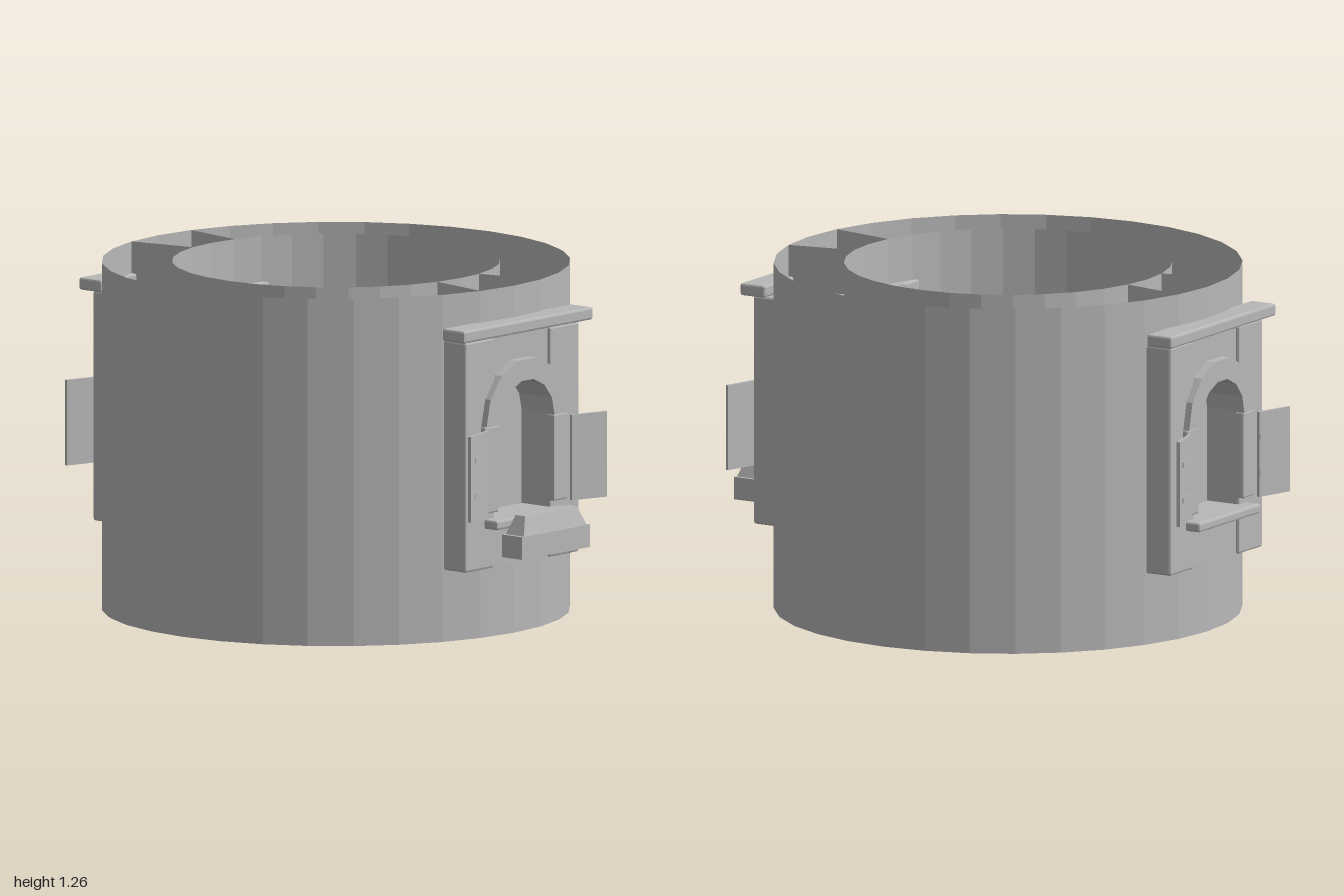
import * as THREE from 'three';
import { RoundedBoxGeometry } from 'three/addons/geometries/RoundedBoxGeometry.js';

const stone = new THREE.MeshStandardMaterial({ color: 0xb8b8b8, flatShading: true, side: THREE.DoubleSide });
stone.name = 'grey stone';

const HEIGHT = 1.26, OUTER = 0.84, INNER = 0.588, STEP = Math.PI / 16;

function add(parent, name, geometry, x = 0, y = 0, z = 0) {
  const mesh = new THREE.Mesh(geometry, stone);
  mesh.name = name;
  mesh.position.set(x, y, z);
  parent.add(mesh);
  return mesh;
}

// Box given by its limits, with an optional small bevel
function block(parent, name, [x0, x1], [y0, y1], [z0, z1], bevel = 0) {
  const size = [x1 - x0, y1 - y0, z1 - z0];
  const geometry = bevel ? new RoundedBoxGeometry(...size, 1, bevel) : new THREE.BoxGeometry(...size);
  return add(parent, name, geometry, (x0 + x1) / 2, (y0 + y1) / 2, (z0 + z1) / 2);
}

// Seven-sided arch points from right to left
function archPoints(radius, y) {
  return Array.from({ length: 8 }, (_, i) => {
    const a = (i * Math.PI) / 7;
    return new THREE.Vector2(Math.cos(a) * radius, y + Math.sin(a) * radius);
  });
}

function extrude(points, z0, z1) {
  const geometry = new THREE.ExtrudeGeometry(new THREE.Shape(points), { depth: z1 - z0, bevelEnabled: false });
  return geometry.translate(0, 0, z0);
}

// Thin round wall, left open behind each window
function roundWall(parent, name, radius) {
  const band = (y0, y1, start, steps) => add(parent, name,
    new THREE.CylinderGeometry(radius, radius, y1 - y0, steps, 1, true, start * STEP, steps * STEP), 0, (y0 + y1) / 2, 0);
  for (const start of [0, 16]) {
    band(0, HEIGHT, start + 1, 14);
    band(0, 0.3, start - 1, 2);
    band(1.06, HEIGHT, start - 1, 2);
  }
}

function createWindow() {
  const group = new THREE.Group();
  group.name = 'window';

  for (const s of [-1, 1]) {
    const span = (a, b) => (s > 0 ? [a, b] : [-b, -a]);
    block(group, 'sidePanel', span(0.152, 0.312), [0.26, 1.095], [0.53, 0.88], 0.008);
    block(group, 'archPillar', span(0.15, 0.228), [0.465, 0.78], [0.86, 0.9], 0.006);

    // Half-open shutter with two hinge straps
    const shutter = new THREE.Group();
    shutter.name = 'shutter';
    shutter.position.set(s * 0.303, 0.615, 0.932);
    shutter.rotation.y = -s * 0.27;
    group.add(shutter);
    block(shutter, 'shutterBoard', [-0.075, 0.075], [-0.155, 0.155], [-0.006, 0.006]);
    for (const y of [-0.065, 0.065])
      block(shutter, 'shutterStrap', span(-0.07, 0.04), [y - 0.01, y + 0.01], [0.005, 0.009]);

    // Thin radial walls joining the inner and outer walls
    for (const [y0, y1] of [[0, 0.3], [1.06, HEIGHT]]) {
      const wall = add(group, 'radialWall', new THREE.PlaneGeometry(OUTER - INNER, y1 - y0));
      const r = (OUTER + INNER) / 2;
      wall.position.set(s * r * Math.sin(STEP), (y0 + y1) / 2, r * Math.cos(STEP));
      wall.rotation.y = s * STEP - Math.PI / 2;
    }
  }

  // Stone above and below the niche, and the niche back
  add(group, 'upperPanel', extrude(
    [...archPoints(0.154, 0.775), new THREE.Vector2(-0.154, 1.095), new THREE.Vector2(0.154, 1.095)], 0.53, 0.868));
  block(group, 'lowerPanel', [-0.154, 0.154], [0.26, 0.44], [0.53, 0.868]);
  block(group, 'nicheBack', [-0.154, 0.154], [0.43, 0.95], [0.73, 0.745]);

  // Trim around the opening
  add(group, 'archTrim', extrude(
    [...archPoints(0.226, 0.78), ...archPoints(0.148, 0.78).reverse()], 0.86, 0.905));
  block(group, 'sill', [-0.207, 0.207], [0.407, 0.442], [0.74, 0.938], 0.008);
  block(group, 'cornice', [-0.355, 0.355], [1.1, 1.145], [0.805, 0.91], 0.008);
  return group;
}

// Box with a tapering mound of planting
function createPlanter() {
  const group = new THREE.Group();
  group.name = 'planter';
  block(group, 'planterBox', [-0.188, 0.186], [0.31, 0.392], [0.905, 1]);
  const mound = new THREE.BoxGeometry(1, 0.068, 1);
  const p = mound.attributes.position;
  for (let i = 0; i < p.count; i++) {
    const top = p.getY(i) > 0;
    p.setX(i, p.getX(i) * (top ? 0.285 : 0.345));
    p.setZ(i, p.getZ(i) * (top ? 0.045 : 0.084));
  }
  add(group, 'planting', mound, 0, 0.426, 0.953);
  return group;
}

export function createModel() {
  const model = new THREE.Group();
  model.name = 'towerSection';

  const tower = new THREE.Group();
  tower.name = 'tower';
  tower.position.z = -0.04;
  model.add(tower);
  roundWall(tower, 'outerWall', OUTER);
  roundWall(tower, 'innerWall', INNER);

  // Matching windows at front and back
  for (const angle of [0, Math.PI]) {
    const win = createWindow();
    win.rotation.y = angle;
    tower.add(win);
  }

  model.add(createPlanter());
  return model;
}
